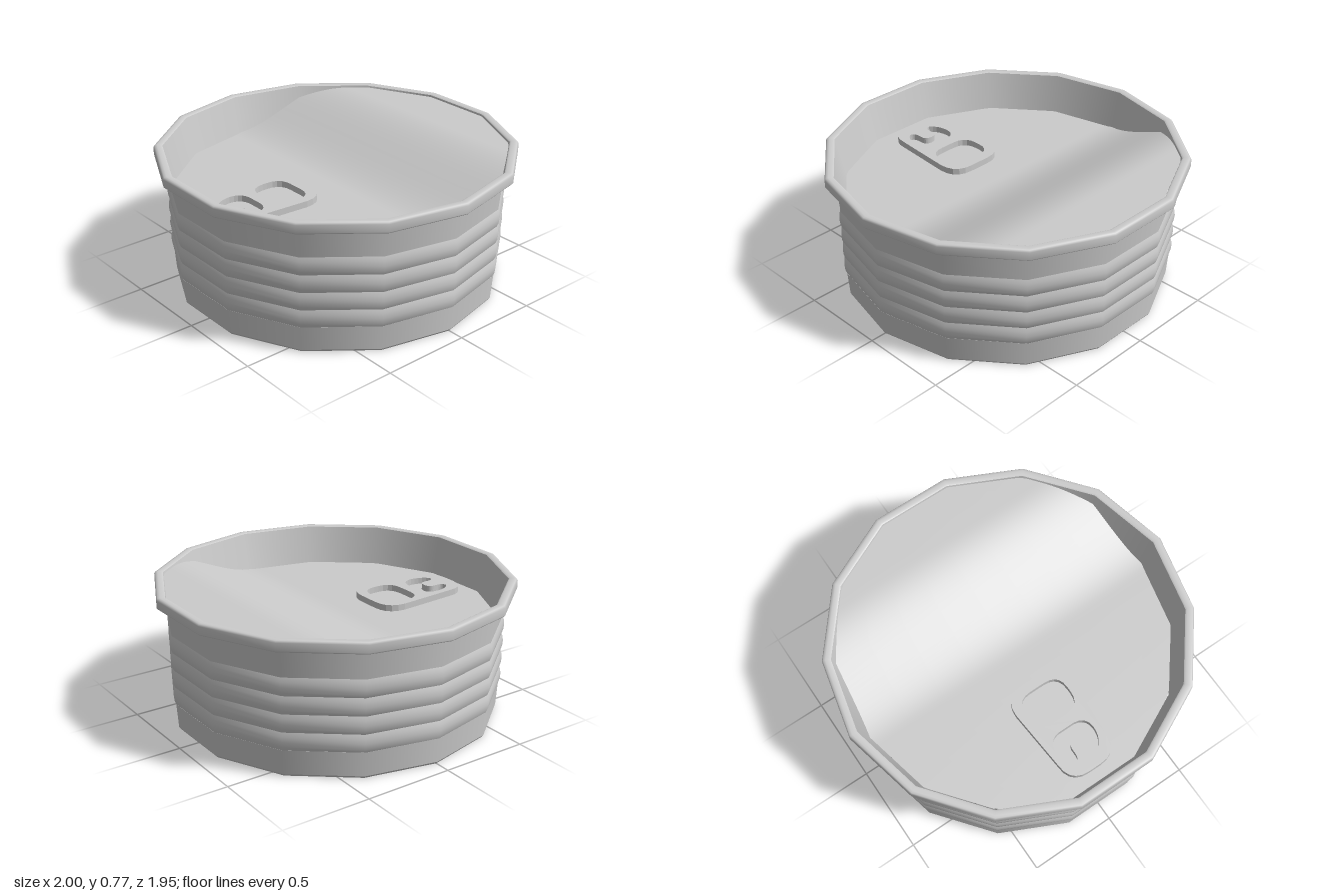
import * as THREE from 'three';

const SIDES = 14;
const STEP = (Math.PI * 2) / SIDES;
const grey = new THREE.MeshStandardMaterial({ color: 0xcccccc });
const greyThin = new THREE.MeshStandardMaterial({ color: 0xcccccc, side: THREE.DoubleSide });

// One smooth band of the can; separate bands keep the edges between them sharp
function band(group, name, points) {
  const profile = points.map(([r, y]) => new THREE.Vector2(r, y));
  const mesh = new THREE.Mesh(new THREE.LatheGeometry(profile, SIDES, Math.PI / 2), grey);
  mesh.name = name;
  group.add(mesh);
}

// Half width in x of a 14-sided polygon of radius r at depth z
function halfWidth(z, r) {
  const t = Math.abs(z) / r;
  for (let k = 0; k < 3; k++) {
    const s0 = Math.sin(k * STEP), s1 = Math.sin((k + 1) * STEP);
    if (t <= s1) return r * THREE.MathUtils.mapLinear(t, s0, s1, Math.cos(k * STEP), Math.cos((k + 1) * STEP));
  }
  return r * Math.cos(3 * STEP);
}

// Lid height: low and flat at the front, sweeping up to the rim at the back
const lidHeight = (z) => 0.55 + 0.205 * THREE.MathUtils.smoothstep(-z, -0.05, 0.65);
const lidRadius = (z) => 0.9 + (lidHeight(z) - 0.55) * 0.23;

function makeLid() {
  const geo = new THREE.PlaneGeometry(2, 2, 8, 64).rotateX(-Math.PI / 2);
  const p = geo.attributes.position;
  const flat = Math.sin(3 * STEP);
  for (let i = 0; i < p.count; i++) {
    const z = p.getZ(i) * flat * (p.getZ(i) < 0 ? lidRadius(-1) : lidRadius(1));
    p.setXYZ(i, p.getX(i) * halfWidth(z, lidRadius(z)), lidHeight(z), z);
  }
  geo.computeVertexNormals();
  const lid = new THREE.Mesh(geo, greyThin);
  lid.name = 'bentLid';
  return lid;
}

// Closed rounded quad: back and front half widths, corner radius
function roundedOutline(path, z0, z1, w0, w1, r) {
  path.moveTo(-w0 + r, z0);
  path.lineTo(w0 - r, z0);
  path.quadraticCurveTo(w0, z0, w0, z0 + r);
  path.lineTo(w1, z1 - r);
  path.quadraticCurveTo(w1, z1, w1 - r, z1);
  path.lineTo(-w1 + r, z1);
  path.quadraticCurveTo(-w1, z1, -w1, z1 - r);
  path.lineTo(-w0, z0 + r);
  path.quadraticCurveTo(-w0, z0, -w0 + r, z0);
  return path;
}

function makeTab() {
  const shape = roundedOutline(new THREE.Shape(), 0.225, 0.815, 0.182, 0.155, 0.12);
  // Finger hole
  shape.holes.push(roundedOutline(new THREE.Path(), 0.28, 0.49, 0.136, 0.136, 0.09));
  // Arched hole around the rivet tongue
  const arch = new THREE.Path();
  arch.moveTo(-0.05, 0.552);
  arch.lineTo(0.05, 0.552);
  arch.quadraticCurveTo(0.12, 0.56, 0.122, 0.63);
  arch.quadraticCurveTo(0.12, 0.7, 0.075, 0.735);
  arch.quadraticCurveTo(0.045, 0.735, 0.043, 0.7);
  arch.lineTo(0.043, 0.665);
  arch.quadraticCurveTo(0.04, 0.63, 0, 0.63);
  arch.quadraticCurveTo(-0.04, 0.63, -0.043, 0.665);
  arch.lineTo(-0.043, 0.7);
  arch.quadraticCurveTo(-0.045, 0.735, -0.075, 0.735);
  arch.quadraticCurveTo(-0.12, 0.7, -0.122, 0.63);
  arch.quadraticCurveTo(-0.12, 0.56, -0.05, 0.552);
  shape.holes.push(arch);
  const geo = new THREE.ExtrudeGeometry(shape, { depth: 0.036, bevelEnabled: false, curveSegments: 5 });
  const tab = new THREE.Mesh(geo.rotateX(Math.PI / 2), grey);
  tab.position.set(-0.013, 0.586, 0);
  tab.name = 'pullTab';
  return tab;
}

export function createModel() {
  const can = new THREE.Group();
  can.name = 'foodCan';

  // Recessed base and its lip
  band(can, 'base', [[0, 0.03], [0.865, 0.03]]);
  band(can, 'baseLipInside', [[0.865, 0.03], [0.87, 0]]);
  band(can, 'baseLip', [[0.87, 0], [0.908, 0]]);
  band(can, 'baseEdge', [[0.908, 0], [0.916, 0.012]]);

  // Side wall with four bulging ribs
  band(can, 'lowerWall', [[0.916, 0.012], [0.925, 0.15]]);
  for (let i = 0; i < 4; i++) {
    const y = 0.15 + i * 0.1, r = 0.924 + i * 0.0015;
    band(can, 'rib', [[r, y], [r + 0.009, y + 0.022], [r + 0.012, y + 0.05], [r + 0.009, y + 0.078], [r + 0.0015, y + 0.1]]);
  }
  band(can, 'upperWall', [[0.93, 0.55], [0.945, 0.71]]);

  // Rolled rim
  band(can, 'rimUnderside', [[0.945, 0.708], [0.994, 0.708]]);
  band(can, 'rim', [[0.994, 0.708], [1, 0.716], [1, 0.758], [0.993, 0.768], [0.98, 0.77], [0.96, 0.77], [0.951, 0.765]]);
  band(can, 'innerWall', [[0.951, 0.765], [0.9, 0.54]]);

  can.add(makeLid(), makeTab());
  return can;
}
